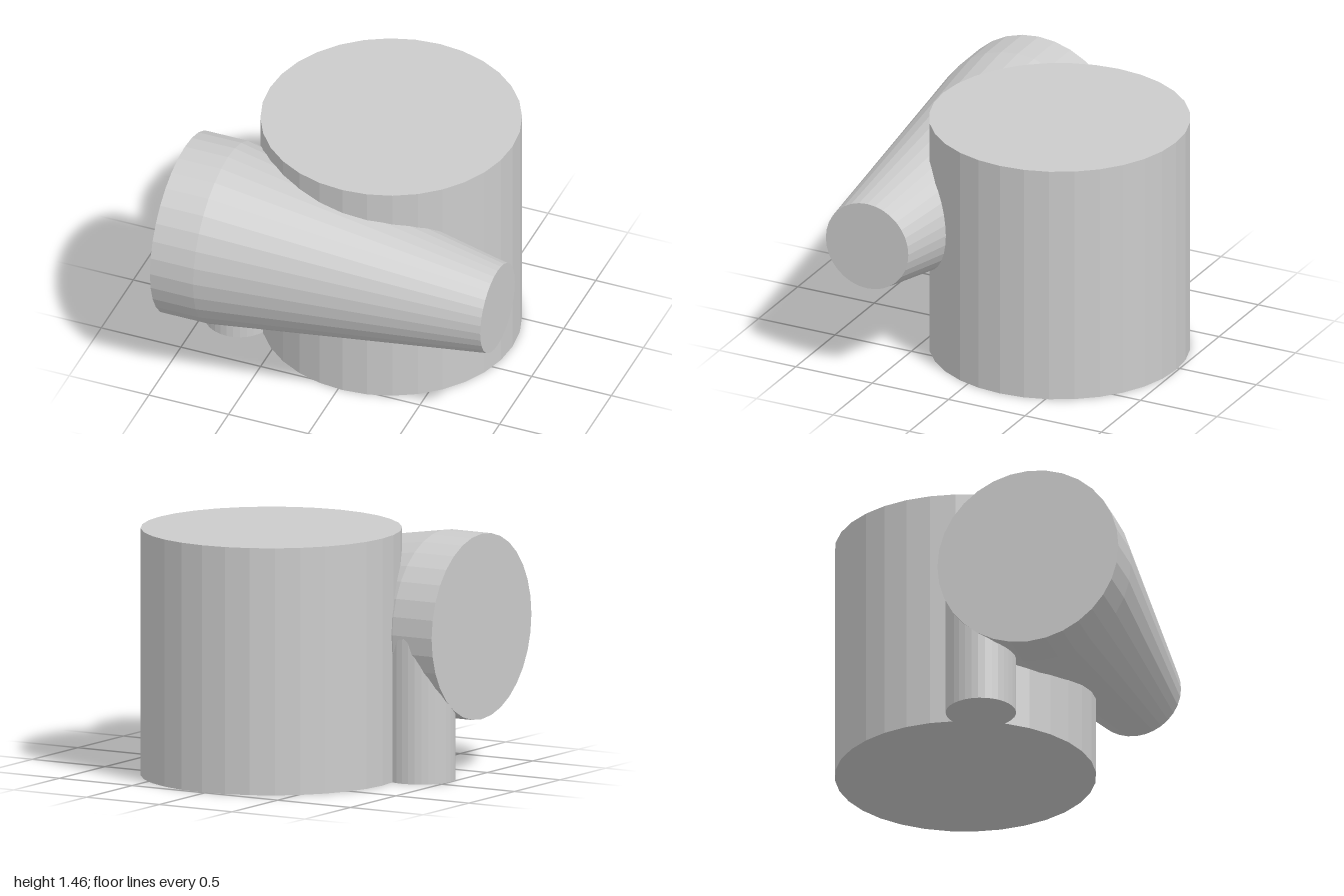
import * as THREE from 'three';

const material = new THREE.MeshStandardMaterial({ color: 0xcccccc, flatShading: true });

function addMesh(group, name, geometry) {
  const mesh = new THREE.Mesh(geometry, material);
  mesh.name = name;
  group.add(mesh);
}

// Upright cylinder standing on the ground
function upright(radius, height, x, z) {
  return new THREE.CylinderGeometry(radius, radius, height, 32).translate(x, height / 2, z);
}

// Sideways barrel: a short straight collar, then a taper whose centre drifts forward
function taperedBarrel() {
  const sections = [
    { x: -1, r: 0.547, z: 0.437 },
    { x: -0.73, r: 0.547, z: 0.437 },
    { x: 1, r: 0.27, z: 0.533 },
  ];
  const geometry = new THREE.CylinderGeometry(1, 1, 2, 32, 2).rotateZ(-Math.PI / 2);
  const p = geometry.attributes.position;
  for (let i = 0; i < p.count; i++) {
    const s = sections[Math.round(p.getX(i)) + 1];
    p.setXYZ(i, s.x, 0.87 + p.getY(i) * s.r, s.z + p.getZ(i) * s.r);
  }
  geometry.computeVertexNormals();
  return geometry;
}

export function createModel() {
  const group = new THREE.Group();
  group.name = 'model';
  addMesh(group, 'mainCylinder', upright(0.762, 1.457, 0.027, -0.228));
  addMesh(group, 'taperedBarrel', taperedBarrel());
  // Small post below the wide end of the barrel
  addMesh(group, 'supportPost', upright(0.205, 0.85, -0.795, 0.095));
  return group;
}
